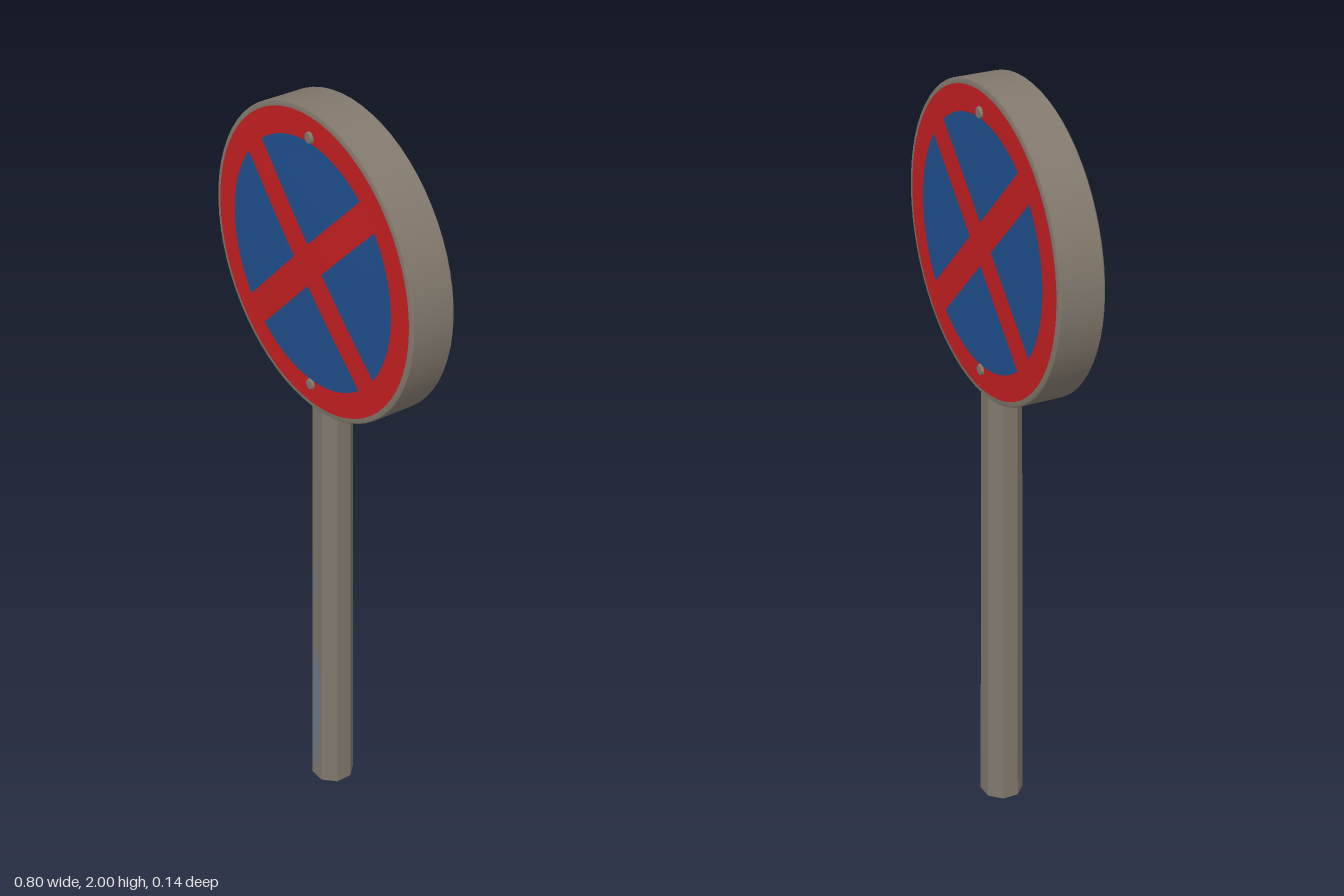
import * as THREE from 'three';

const mat = (name, color, extra = {}) => {
  const m = new THREE.MeshStandardMaterial({ color, ...extra });
  m.name = name;
  return m;
};

export function createModel() {
  const metal = mat('weathered grey metal', 0x82796d);
  const poleMetal = mat('pole grey metal', 0x7f776b, { flatShading: true });
  const red = mat('sign red', 0xc62022);
  const blue = mat('sign blue', 0x20508f);
  const smearBlue = mat('faded blue smear', 0x6c7b88);

  const root = new THREE.Group();
  root.name = 'roadSign';
  const add = (parent, name, geo, material, x = 0, y = 0, z = 0) => {
    const mesh = new THREE.Mesh(geo, material);
    mesh.name = name;
    mesh.position.set(x, y, z);
    parent.add(mesh);
    return mesh;
  };

  // Octagonal pole, slightly narrower at the top
  const poleH = 1.24, rBottom = 0.057, rTop = 0.051;
  const poleGeo = new THREE.CylinderGeometry(rTop, rBottom, poleH, 8);
  poleGeo.rotateY(Math.PI / 8);
  add(root, 'pole', poleGeo, poleMetal, 0, poleH / 2, -0.01);

  // Faded paint on the front facet of the pole
  const smear = (name, points) => {
    const curve = new THREE.SplineCurve(points.map(([x, y]) => new THREE.Vector2(x, y)));
    const geo = new THREE.ShapeGeometry(new THREE.Shape(curve.getPoints(32)));
    const p = geo.attributes.position;
    for (let i = 0; i < p.count; i++) {
      const r = THREE.MathUtils.lerp(rBottom, rTop, p.getY(i) / poleH);
      p.setZ(i, r * Math.cos(Math.PI / 8) - 0.01 + 0.001);
    }
    geo.computeVertexNormals();
    add(root, name, geo, smearBlue);
  };
  smear('lowerSmear', [[-0.012, 0.44], [-0.016, 0.25], [-0.01, 0.06], [0.002, 0.05], [0.014, 0.2], [0.016, 0.36], [0, 0.42], [-0.012, 0.44]]);
  smear('upperSmear', [[-0.014, 0.7], [-0.02, 0.65], [-0.015, 0.6], [-0.007, 0.66], [-0.014, 0.7]]);

  // Thick round sign casing with a small bevelled edge
  const sign = new THREE.Group();
  sign.name = 'signHead';
  sign.position.y = 1.602;
  root.add(sign);
  const R = 0.4, back = -0.065, front = 0.055, b = 0.004;
  const casing = new THREE.Group();
  casing.name = 'casing';
  sign.add(casing);
  const side = new THREE.CylinderGeometry(R, R, front - back - 2 * b, 64, 1, true).rotateX(Math.PI / 2);
  add(casing, 'casingSide', side, metal, 0, 0, (front + back) / 2);
  for (const [name, z, turn] of [['frontEdge', front, 0], ['backEdge', back, Math.PI]]) {
    const edge = new THREE.LatheGeometry([new THREE.Vector2(R, -b), new THREE.Vector2(R - b, 0), new THREE.Vector2(0.38, 0)], 64);
    edge.rotateX(Math.PI / 2);
    add(casing, name, edge, metal, 0, 0, z).rotation.y = turn;
  }

  // Painted face: red disc and four blue sectors between the crossing bars
  const blueR = 0.32, gap = 0.056, sectors = 4;
  const signFace = (name, dome) => {
    const g = new THREE.Group();
    g.name = name;
    sign.add(g);
    const height = (r) => dome * Math.max(0, 1 - (r / 0.3) ** 2);
    const profile = [];
    for (let i = 0; i <= 14; i++) {
      const r = 0.386 * (1 - i / 14);
      profile.push(new THREE.Vector2(r, height(r) + 0.0005));
    }
    add(g, 'redDisc', new THREE.LatheGeometry(profile, 64).rotateX(Math.PI / 2), red);

    // Outer corner of a sector lies where its edge, y = x + gap, meets the circle
    const cx = (-gap + Math.sqrt(2 * blueR * blueR - gap * gap)) / 2;
    const half = Math.atan2(cx, cx + gap);
    const nu = 20, nv = 8;
    for (let k = 0; k < sectors; k++) {
      const pos = [], idx = [];
      for (let j = 0; j <= nv; j++) {
        for (let i = 0; i <= nu; i++) {
          const a = half * (1 - (2 * i) / nu), t = j / nv;
          const x = blueR * Math.sin(a) * t;
          const y = THREE.MathUtils.lerp(gap, blueR * Math.cos(a), t);
          pos.push(x, y, height(Math.hypot(x, y)) + 0.002);
          if (i < nu && j < nv) {
            const p = j * (nu + 1) + i, q = p + nu + 1;
            idx.push(p, q, q + 1, p, q + 1, p + 1);
          }
        }
      }
      const geo = new THREE.BufferGeometry();
      geo.setAttribute('position', new THREE.Float32BufferAttribute(pos, 3));
      geo.setIndex(idx);
      geo.computeVertexNormals();
      add(g, 'blueSector', geo, blue).rotation.z = (k * Math.PI) / 2;
    }

    // Fixing bolts at the top and bottom of the blue field
    for (const y of [0.333, -0.333]) {
      add(g, 'bolt', new THREE.CylinderGeometry(0.013, 0.016, 0.008, 10).rotateX(Math.PI / 2), metal, 0, y, 0.003);
    }
    return g;
  };
  signFace('frontFace', 0.007).position.z = front;
  const rear = signFace('backFace', 0);
  rear.position.z = back;
  rear.rotation.y = Math.PI;

  // Sector and disc winding follows +z; make the thin painted skins visible from both sides
  for (const m of [red, blue, smearBlue, metal]) m.side = THREE.DoubleSide;
  return root;
}
